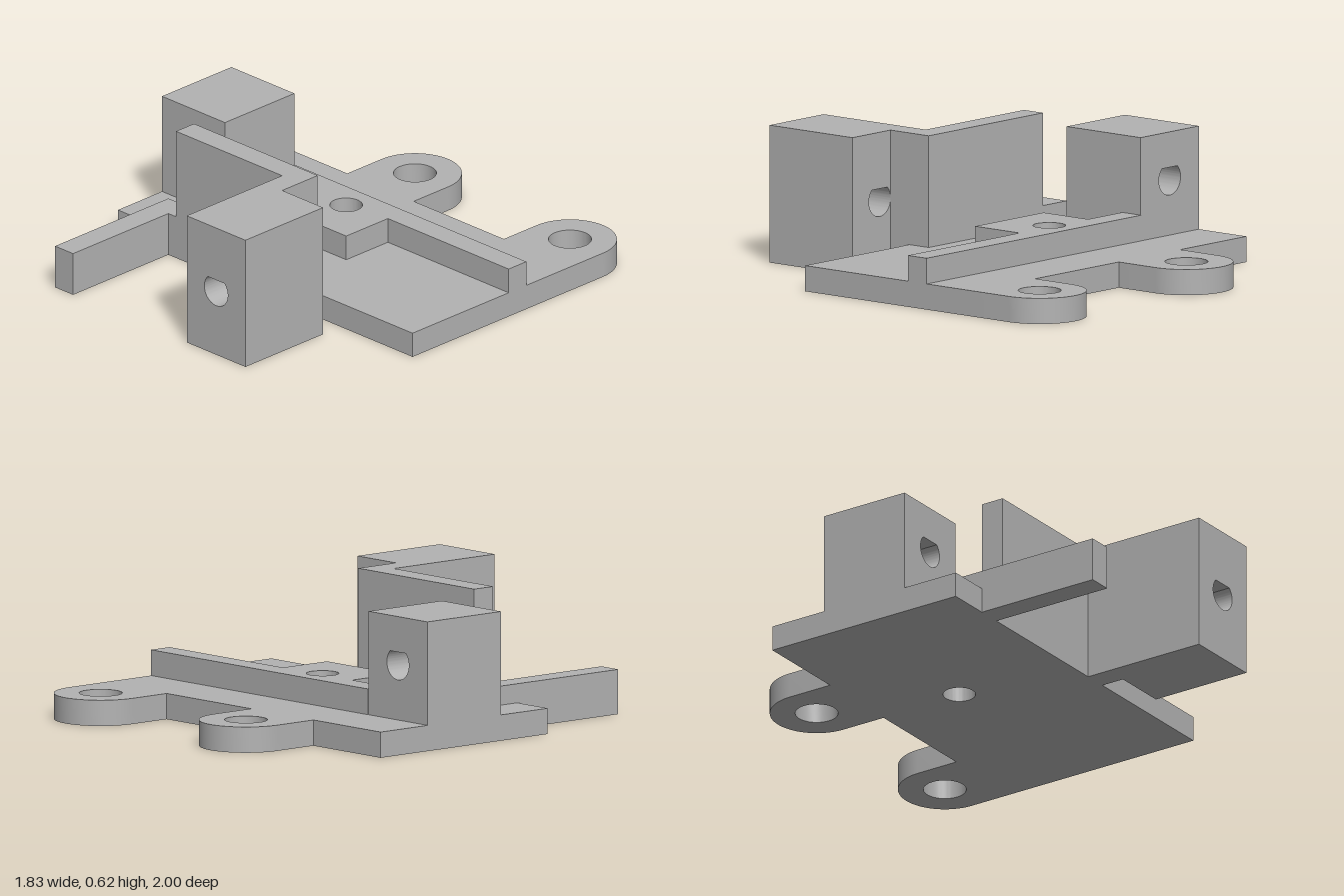
import * as THREE from 'three';
import { toCreasedNormals } from 'three/addons/utils/BufferGeometryUtils.js';

export function createModel() {
  const model = new THREE.Group();
  model.name = 'mountingBracket';
  const grey = new THREE.MeshStandardMaterial({ color: 0xb2b2b2 });
  grey.name = 'grey plastic';

  const add = (name, geometry) => {
    const mesh = new THREE.Mesh(geometry, grey);
    mesh.name = name;
    model.add(mesh);
  };

  const box = (name, x0, x1, y0, y1, z0, z1) => {
    const g = new THREE.BoxGeometry(x1 - x0, y1 - y0, z1 - z0);
    g.translate((x0 + x1) / 2, (y0 + y1) / 2, (z0 + z1) / 2);
    add(name, g);
  };

  const extrude = (shape, depth) => toCreasedNormals(
    new THREE.ExtrudeGeometry(shape, { depth, bevelEnabled: false, curveSegments: 32 }), 0.5);

  // Plan shapes are drawn in x and -z, then raised from y0 to y1
  const slab = (name, shape, y0, y1) =>
    add(name, extrude(shape, y1 - y0).rotateX(-Math.PI / 2).translate(0, y0, 0));

  const circle = (x, z, r) => new THREE.Path().absarc(x, -z, r, 0, Math.PI * 2, true);

  // Block bored from front to back with a teardrop hole
  const boredBlock = (name, x0, x1, y1, z0, z1, cx, cy) => {
    const s = new THREE.Shape();
    s.moveTo(x0, 0).lineTo(x1, 0).lineTo(x1, y1).lineTo(x0, y1).closePath();
    const r = 0.073, a = Math.PI / 4;
    const hole = new THREE.Path();
    hole.moveTo(cx, cy + 0.108);
    hole.absarc(cx, cy, r, a, Math.PI - a, true);
    hole.closePath();
    s.holes.push(hole);
    add(name, extrude(s, z1 - z0).translate(0, 0, z0));
  };

  const W = 0.917, top = 0.115, front = 0.405, back = -0.58;
  const bore = [-0.067, -0.167, 0.072];

  // Base plate with two rounded ears at the back
  const ears = [{ x: 0.71, z: -0.785 }, { x: -0.265, z: -0.795 }];
  const earR = 0.207;
  const plate = new THREE.Shape();
  plate.moveTo(-W, -front).lineTo(W, -front);
  for (const e of ears) {
    plate.lineTo(e.x + earR, -back);
    plate.absarc(e.x, -e.z, earR, 0, Math.PI, false);
    plate.lineTo(e.x - earR, -back);
    plate.holes.push(circle(e.x, e.z, 0.095));
  }
  plate.lineTo(-W, -back).closePath();
  plate.holes.push(circle(...bore));
  slab('basePlate', plate, 0, top);

  // Rail widening into a boss around the centre bore
  const rail = new THREE.Shape();
  [[-0.525, 0.195], [-0.295, 0.195], [-0.295, -0.065], [0.165, -0.065],
    [0.165, 0.195], [W, 0.195], [W, 0.305], [-0.525, 0.305]]
    .forEach(([x, y], i) => (i ? rail.lineTo(x, y) : rail.moveTo(x, y)));
  rail.closePath();
  rail.holes.push(circle(...bore));
  slab('railAndBoss', rail, top, 0.23);

  // Bored blocks at the back right and the front
  boredBlock('rearBlock', -W, -0.525, 0.577, -0.303, 0.13, -0.72, 0.367);
  boredBlock('frontBlock', 0.105, 0.47, 0.615, 0.515, 1, 0.2875, 0.311);

  // Upright wall and the arm joining it to the front block
  box('wall', -0.555, 0.215, top, 0.615, 0.293, front);
  box('wallArm', 0.105, 0.215, 0, 0.615, front, 0.515);

  // Low step beside the wall and the finger reaching forward
  box('lowStep', -0.715, -0.555, top, 0.2, 0.293, front);
  box('finger', -0.715, -0.603, 0, 0.2, front, 1);

  return model;
}
